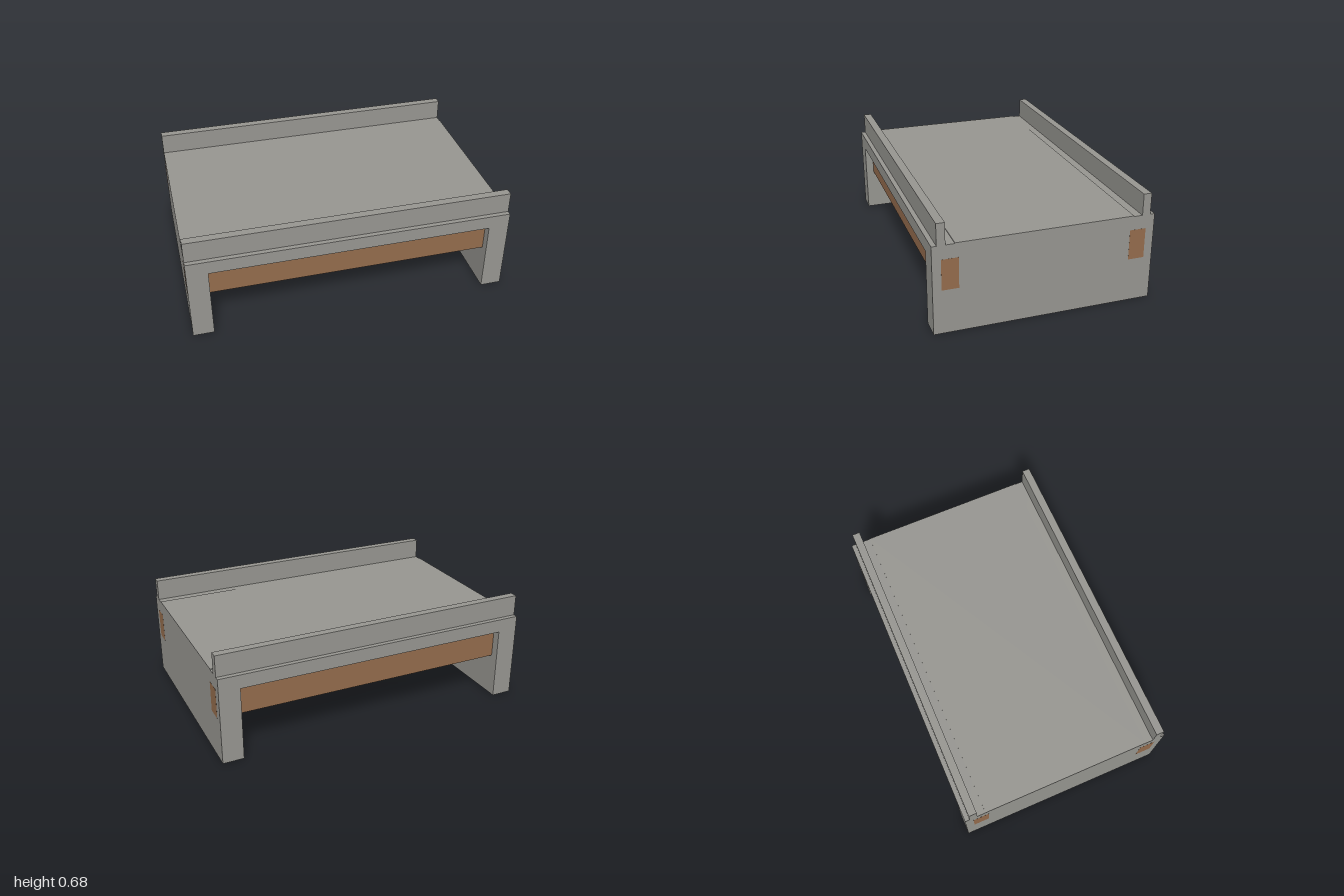
import * as THREE from 'three';

export function createModel() {
  const model = new THREE.Group();
  model.name = 'bridge';

  const stone = new THREE.MeshStandardMaterial({ color: 0x969590 });
  stone.name = 'grey stone';
  const timber = new THREE.MeshStandardMaterial({ color: 0x936b4c });
  timber.name = 'brown timber';

  // Box given by its limits on each axis
  function addBox(name, material, [x0, x1], [y0, y1], [z0, z1]) {
    const mesh = new THREE.Mesh(new THREE.BoxGeometry(x1 - x0, y1 - y0, z1 - z0), material);
    mesh.position.set((x0 + x1) / 2, (y0 + y1) / 2, (z0 + z1) / 2);
    mesh.name = name;
    model.add(mesh);
  }

  // Deck and both abutments as one portal section, extruded across the width
  const X = 0.9995, inner = 0.87, deckTop = 0.545, deckBottom = 0.46, halfWidth = 0.667;
  const portal = new THREE.Shape([
    [-X, 0], [-inner, 0], [-inner, deckBottom], [inner, deckBottom],
    [inner, 0], [X, 0], [X, deckTop], [-X, deckTop],
  ].map(([x, y]) => new THREE.Vector2(x, y)));
  const portalGeometry = new THREE.ExtrudeGeometry(portal, { depth: halfWidth * 2, bevelEnabled: false });
  portalGeometry.translate(0, 0, -halfWidth);
  const deck = new THREE.Mesh(portalGeometry, stone);
  deck.name = 'deckAndAbutments';
  model.add(deck);

  // Thin raised roadway
  addBox('roadway', stone, [-X, X], [deckTop - 0.005, deckTop + 0.004], [-0.535, 0.535]);

  // Parapets, and beams whose ends show in the abutment faces
  for (const [side, s] of [['front', 1], ['back', -1]]) {
    const span = (a, b) => (s > 0 ? [a, b] : [-b, -a]);
    addBox(side + 'Parapet', stone, [-X, X], [deckTop, 0.677], span(0.588, 0.638));
    addBox(side + 'Beam', timber, [-1, 1], [0.272, deckBottom], span(0.515, 0.615));
  }
  return model;
}
